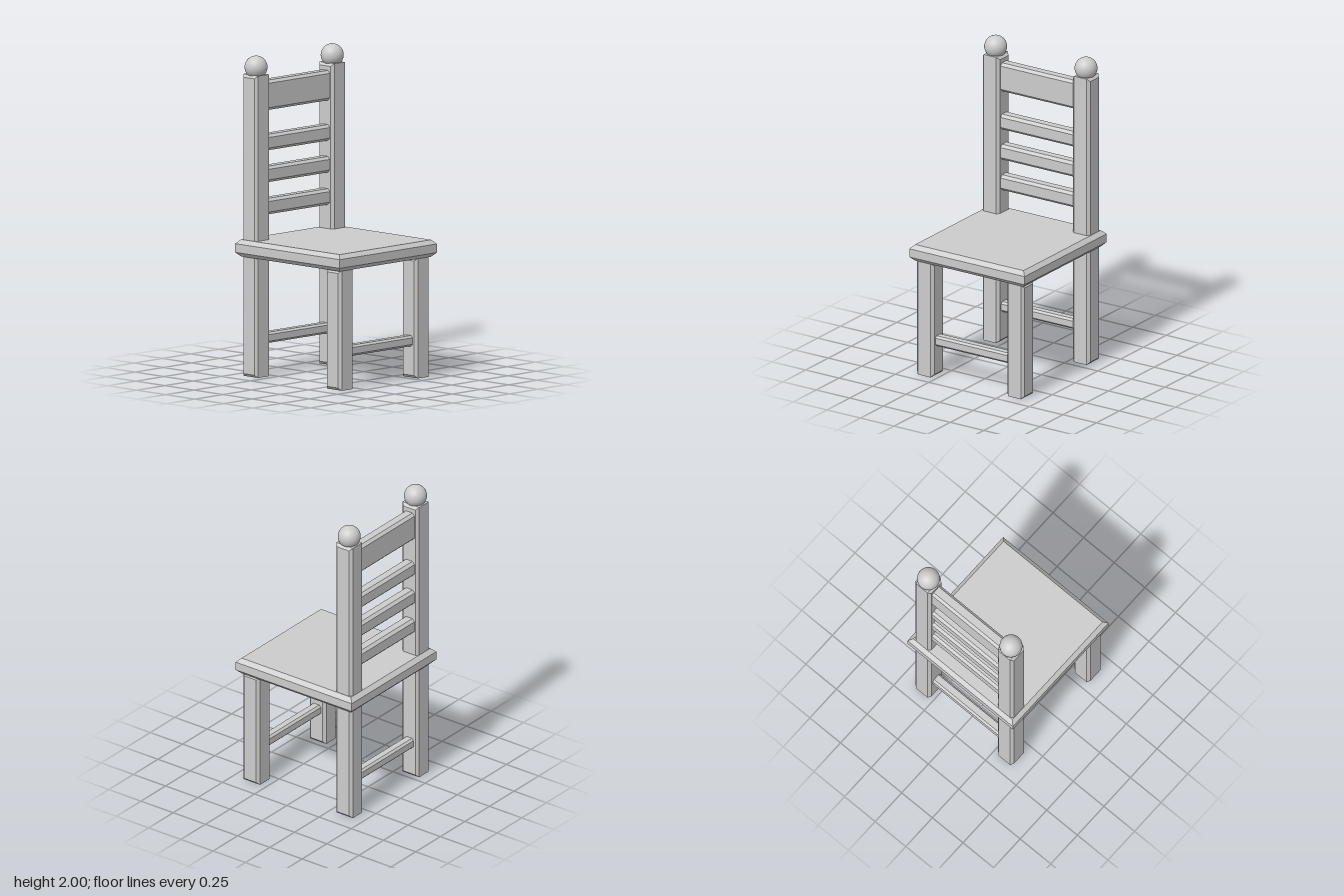
import * as THREE from 'three';
import { ConvexGeometry } from 'three/addons/geometries/ConvexGeometry.js';

// Box whose two faces across the given axis (0 x, 1 y, 2 z) are inset by a mitred chamfer
function chamferBox(size, axis, c) {
  const pts = [];
  for (const sx of [-1, 1]) for (const sy of [-1, 1]) for (const sz of [-1, 1]) {
    const s = [sx, sy, sz];
    const inset = (test) => new THREE.Vector3(...s.map((v, i) => v * (size[i] / 2 - (test(i) ? c : 0))));
    pts.push(inset((i) => i === axis), inset((i) => i !== axis));
  }
  return new ConvexGeometry(pts);
}

export function createModel() {
  const chair = new THREE.Group();
  chair.name = 'chair';
  const wood = new THREE.MeshStandardMaterial({ color: 0xcccccc });
  wood.name = 'light grey';

  const add = (name, geometry, x, y, z) => {
    const mesh = new THREE.Mesh(geometry, wood);
    mesh.name = name;
    mesh.position.set(x, y, z);
    chair.add(mesh);
  };

  const legX = 0.337, legZ = 0.36, legW = 0.128, c = 0.017;

  // Seat
  add('seat', chamferBox([0.86, 0.106, 0.9], 1, 0.026), 0, 0.8, 0);

  // Front legs, tall back posts and their ball finials
  const legGeo = chamferBox([legW, 0.75, legW], 0, c);
  const postGeo = chamferBox([legW, 1.885, legW], 0, c);
  const ballGeo = new THREE.SphereGeometry(0.071, 32, 20);
  for (const [side, s] of [['left', 1], ['right', -1]]) {
    add(side + 'FrontLeg', legGeo, s * legX, 0.375, legZ);
    add(side + 'BackPost', postGeo, s * legX, 0.9425, -legZ);
    add(side + 'Finial', ballGeo, s * legX, 1.929, -legZ);
  }

  // Back rest: three slats and a taller top rail, ends set into the posts
  const slatGeo = chamferBox([0.6, 0.1, 0.083], 2, c);
  [1.053, 1.254, 1.453].forEach((y, i) => add('backSlat' + (i + 1), slatGeo, 0, y, -legZ));
  add('topRail', chamferBox([0.6, 0.187, 0.083], 2, c), 0, 1.748, -legZ);

  // Stretchers between the front legs and between the back posts
  const stretcherGeo = chamferBox([0.6, 0.067, 0.067], 2, 0.013);
  add('frontStretcher', stretcherGeo, 0, 0.232, legZ);
  add('backStretcher', stretcherGeo, 0, 0.232, -legZ);

  return chair;
}
